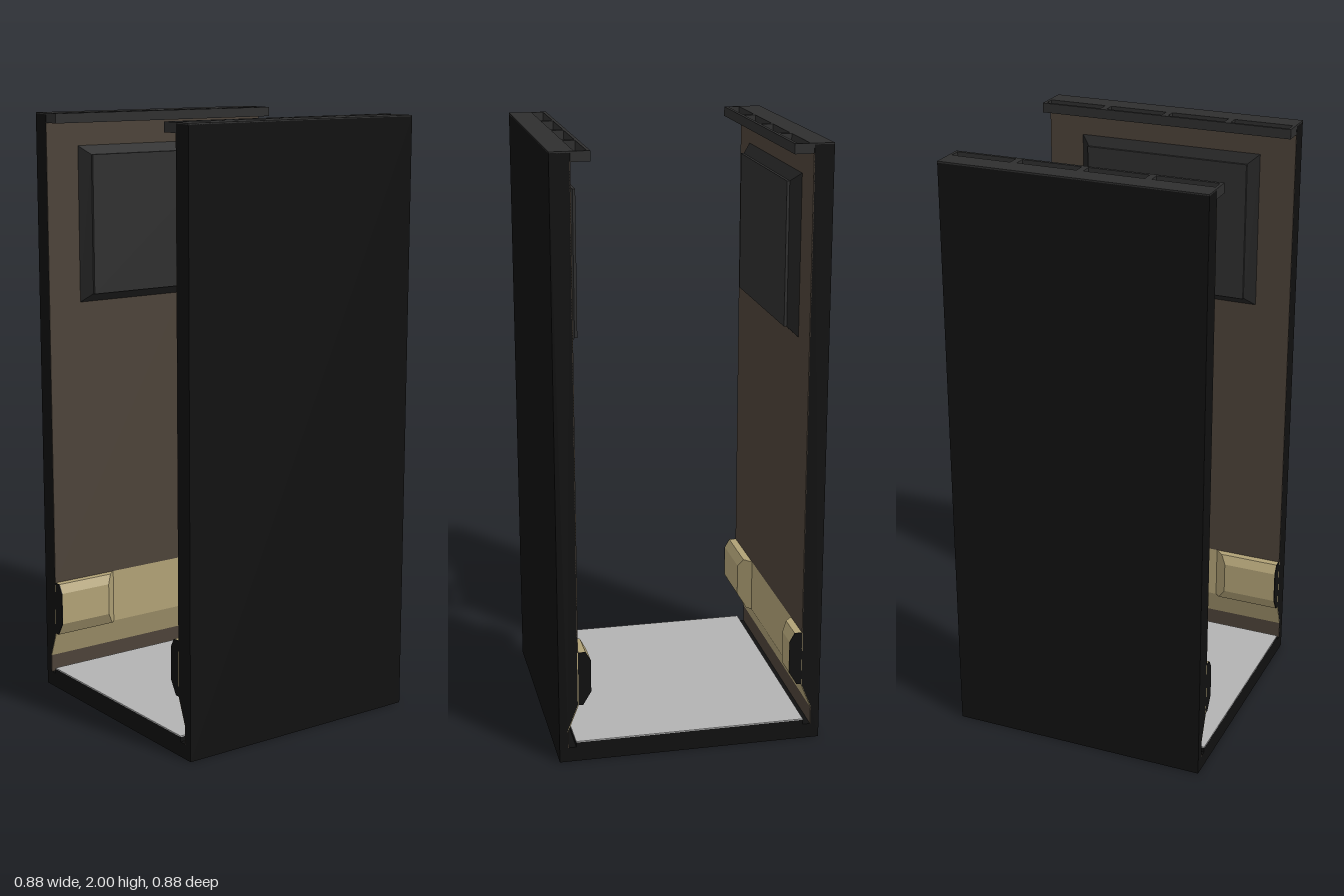
import * as THREE from 'three';

const mat = (name, color) => {
  const m = new THREE.MeshStandardMaterial({ color });
  m.name = name;
  return m;
};

export function createModel() {
  const black = mat('shell black', 0x101010);
  const trim = mat('trim grey', 0x2e2e2e);
  const frameMat = mat('frame charcoal', 0x232323);
  const brown = mat('wall brown', 0x4c4238);
  const gold = mat('band gold', 0xb0a176);
  const grey = mat('floor grey', 0xb2b2b2);
  const model = new THREE.Group();
  const L = 0.44; // half length along x

  const add = (parent, name, geo, material) => {
    const mesh = new THREE.Mesh(geo, material);
    mesh.name = name;
    parent.add(mesh);
    return mesh;
  };
  // box given by its limits
  const box = (parent, name, m, x0, x1, y0, y1, z0, z1) => {
    const g = new THREE.BoxGeometry(x1 - x0, y1 - y0, Math.abs(z1 - z0));
    g.translate((x0 + x1) / 2, (y0 + y1) / 2, (z0 + z1) / 2);
    return add(parent, name, g, m);
  };
  // profile of [z, y] points extruded along x
  const extrudeX = (pts, s, x0, x1) => {
    const shape = new THREE.Shape(pts.map(([z, y]) => new THREE.Vector2(-z * s, y)));
    const g = new THREE.ExtrudeGeometry(shape, { depth: x1 - x0, bevelEnabled: false });
    return g.rotateY(Math.PI / 2).translate(x0, 0, 0);
  };

  // floor slab with raised walkway
  box(model, 'floorSlab', black, -L, L, 0, 0.05, -0.42, 0.42);
  box(model, 'floorStep', black, -L, L, 0.05, 0.066, -0.385, 0.385);
  box(model, 'floorSurface', grey, -L, L, 0.066, 0.07, -0.385, 0.385);

  for (const s of [1, -1]) {
    const wall = new THREE.Group();
    wall.name = s > 0 ? 'frontWall' : 'backWall';
    model.add(wall);

    // outer shell, undercut near the floor
    const shell = [[0.44, 0], [0.44, 1.996], [0.377, 1.996], [0.377, 0.2], [0.412, 0.11], [0.412, 0]];
    add(wall, 'wallShell', extrudeX(shell, s, -L, L), black);

    // inner linings
    box(wall, 'wallLining', brown, -L, L, 0.385, 1.97, s * 0.375, s * 0.378);
    box(wall, 'goldBand', gold, -L, L, 0.2, 0.385, s * 0.375, s * 0.378);
    add(wall, 'goldSlope', extrudeX([[0.375, 0.2], [0.41, 0.11], [0.413, 0.11], [0.378, 0.2]], s, -L, L), gold);
    box(wall, 'skirting', brown, -L, L, 0.05, 0.11, s * 0.41, s * 0.413);

    // gold bumpers at both ends, inner ends slanted, outer ends capped
    const bump = [[0.376, 0.2], [0.36, 0.2], [0.333, 0.245], [0.333, 0.355], [0.35, 0.385], [0.376, 0.385]];
    for (const [side, inner] of [[1, 0.305], [-1, -0.2]]) {
      const end = side * (L - 0.003);
      const g = extrudeX(bump, s, Math.min(inner, end), Math.max(inner, end));
      const p = g.attributes.position;
      for (let i = 0; i < p.count; i++) {
        if (Math.abs(p.getX(i) - inner) < 1e-4) {
          p.setX(i, inner + side * (0.376 - Math.abs(p.getZ(i))) * 1.1);
        }
      }
      g.computeVertexNormals();
      add(wall, 'goldBumper', g, gold);
      add(wall, 'bumperCap', extrudeX(bump, s, Math.min(end, side * L), Math.max(end, side * L)), black);
    }

    // bevelled frame and raised panel
    const frame = new THREE.BoxGeometry(0.64, 0.53, 0.031).toNonIndexed();
    const fp = frame.attributes.position;
    for (let i = 0; i < fp.count; i++) {
      if (fp.getZ(i) * s < 0) {
        fp.setX(i, Math.sign(fp.getX(i)) * 0.285);
        fp.setY(i, Math.sign(fp.getY(i)) * 0.235);
      }
    }
    frame.computeVertexNormals();
    frame.translate(0, 1.625, s * 0.3605);
    add(wall, 'panelFrame', frame, frameMat);
    box(wall, 'panel', trim, -0.285, 0.285, 1.39, 1.86, s * 0.336, s * 0.346);

    // top cap and slotted lip
    box(wall, 'topCap', trim, -L, L, 1.995, 2, s * 0.375, s * 0.44);
    box(wall, 'lipBase', trim, -L, L, 1.968, 2, s * 0.364, s * 0.376);
    box(wall, 'lipEdge', trim, -L, L, 1.968, 2, s * 0.314, s * 0.325);
    for (const [x, w] of [[-0.435, 0.01], [-0.22, 0.022], [0, 0.022], [0.22, 0.022], [0.435, 0.01]]) {
      box(wall, 'lipBar', trim, x - w / 2, x + w / 2, 1.968, 2, s * 0.325, s * 0.364);
    }
  }
  return model;
}
